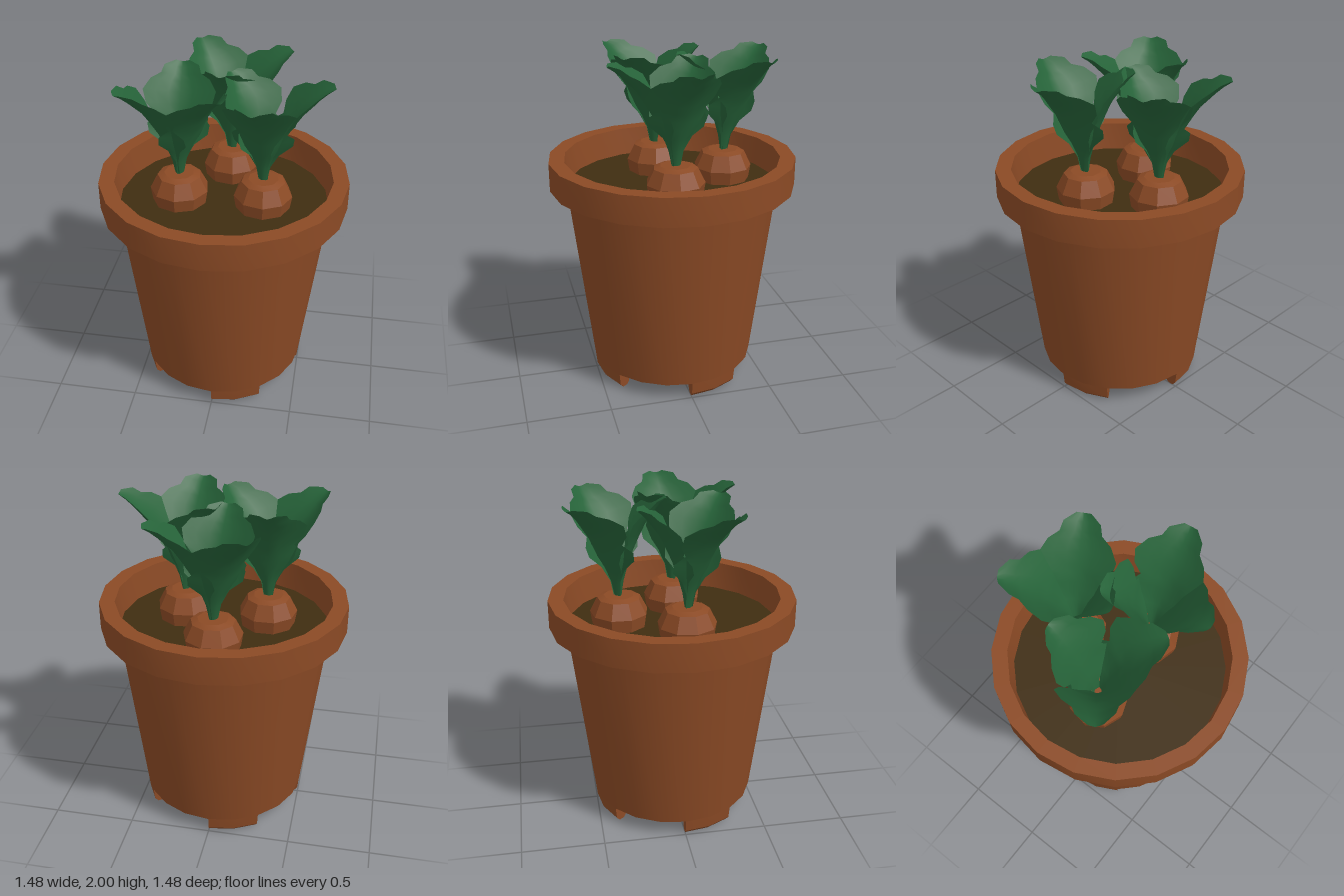
import * as THREE from 'three';
import { mergeGeometries, toCreasedNormals } from 'three/addons/utils/BufferGeometryUtils.js';

const mat = (name, color, side = THREE.FrontSide) => {
  const m = new THREE.MeshStandardMaterial({ color, side });
  m.name = name;
  return m;
};
const rad = THREE.MathUtils.degToRad;
const points = list => list.map(p => new THREE.Vector2(...p));

function add(parent, name, geometry, material) {
  const mesh = new THREE.Mesh(geometry, material);
  mesh.name = name;
  parent.add(mesh);
  return mesh;
}

// Curved foot spanning 36 degrees of the pot's bottom edge, with closed ends
function footGeometry() {
  const profile = points([[0.42, 0.1], [0.42, 0.02], [0.44, 0], [0.475, 0], [0.497, 0.025], [0.505, 0.1]]);
  const sweep = rad(36);
  const body = new THREE.LatheGeometry(profile, 2, 0, sweep);
  const start = new THREE.ShapeGeometry(new THREE.Shape(profile)).rotateY(-Math.PI / 2);
  const end = new THREE.ShapeGeometry(new THREE.Shape(profile)).rotateY(sweep - Math.PI / 2);
  end.index.array.reverse();
  return toCreasedNormals(mergeGeometries([body, start, end]), 0.4);
}

// Lobed, cupped leaf leaning outwards along +x; rows hold reach, height, half width
function leafGeometry(lean) {
  const rows = [
    [0.02, 1.4, 0.025], [0.04, 1.5, 0.04], [0.07, 1.58, 0.09], [0.10, 1.64, 0.17],
    [0.12, 1.69, 0.18], [0.15, 1.74, 0.14], [0.18, 1.79, 0.19], [0.22, 1.85, 0.21],
    [0.27, 1.9, 0.17], [0.3, 1.93, 0.115], [0.34, 1.965, 0.1], [0.38, 1.99, 0.04],
  ];
  const columns = 6, position = [], index = [];
  rows.forEach(([reach, y, w], i) => {
    const lo = rows[Math.max(i - 1, 0)], hi = rows[Math.min(i + 1, rows.length - 1)];
    const inward = new THREE.Vector2(-(hi[1] - lo[1]), (hi[0] - lo[0]) * lean).normalize();
    for (let j = 0; j <= columns; j++) {
      const u = (j / columns) * 2 - 1;
      const cup = 0.4 * w * Math.abs(u) ** 1.5;
      position.push(reach * lean + inward.x * cup, y + inward.y * cup, w * u);
      if (i && j) {
        const d = i * (columns + 1) + j, b = d - columns - 1;
        index.push(b - 1, d - 1, b, b, d - 1, d);
      }
    }
  });
  const g = new THREE.BufferGeometry();
  g.setAttribute('position', new THREE.Float32BufferAttribute(position, 3));
  g.setIndex(index);
  g.computeVertexNormals();
  return g;
}

export function createModel() {
  const model = new THREE.Group();
  model.name = 'pottedRootVegetables';
  const clay = mat('terracotta', 0x8b4a25);
  const earth = mat('soil', 0x3f2d11);
  const green = mat('leafGreen', 0x266339, THREE.DoubleSide);

  // Pot with drain hole, tapered wall and thick rim
  const pot = new THREE.LatheGeometry(points([
    [0, 0.18], [0.055, 0.18], [0.055, 0.1], [0.505, 0.1], [0.64, 1.23],
    [0.74, 1.23], [0.74, 1.4], [0.648, 1.4], [0.625, 1.2],
  ]), 20);
  add(model, 'pot', toCreasedNormals(pot, 0.4), clay);

  // Four feet
  const foot = footGeometry();
  for (let i = 0; i < 4; i++) add(model, 'foot', foot, clay).rotation.y = i * Math.PI / 2;

  // Soil surface
  const soil = new THREE.CircleGeometry(0.63, 20).rotateX(-Math.PI / 2);
  add(model, 'soil', soil, earth).position.y = 1.23;

  // Three plants, each a root with two spreading leaves and one upright leaf
  const root = toCreasedNormals(new THREE.LatheGeometry(points([
    [0.15, 1.15], [0.175, 1.31], [0.13, 1.4], [0.09, 1.415], [0, 1.415],
  ]), 9), 0.3);
  const spreading = leafGeometry(1), upright = leafGeometry(0.75);
  const plants = [[0, -0.32, -129], [0.24, 0.04, -6], [-0.26, 0.045, 40]];
  for (const [x, z, turn] of plants) {
    const plant = new THREE.Group();
    plant.name = 'plant';
    plant.position.set(x, 0, z);
    plant.rotation.y = -rad(turn);
    add(plant, 'root', root, clay);
    [0, 101, 226].forEach((angle, i) => {
      add(plant, 'leaf', i < 2 ? spreading : upright, green).rotation.y = -rad(angle);
    });
    model.add(plant);
  }
  return model;
}
